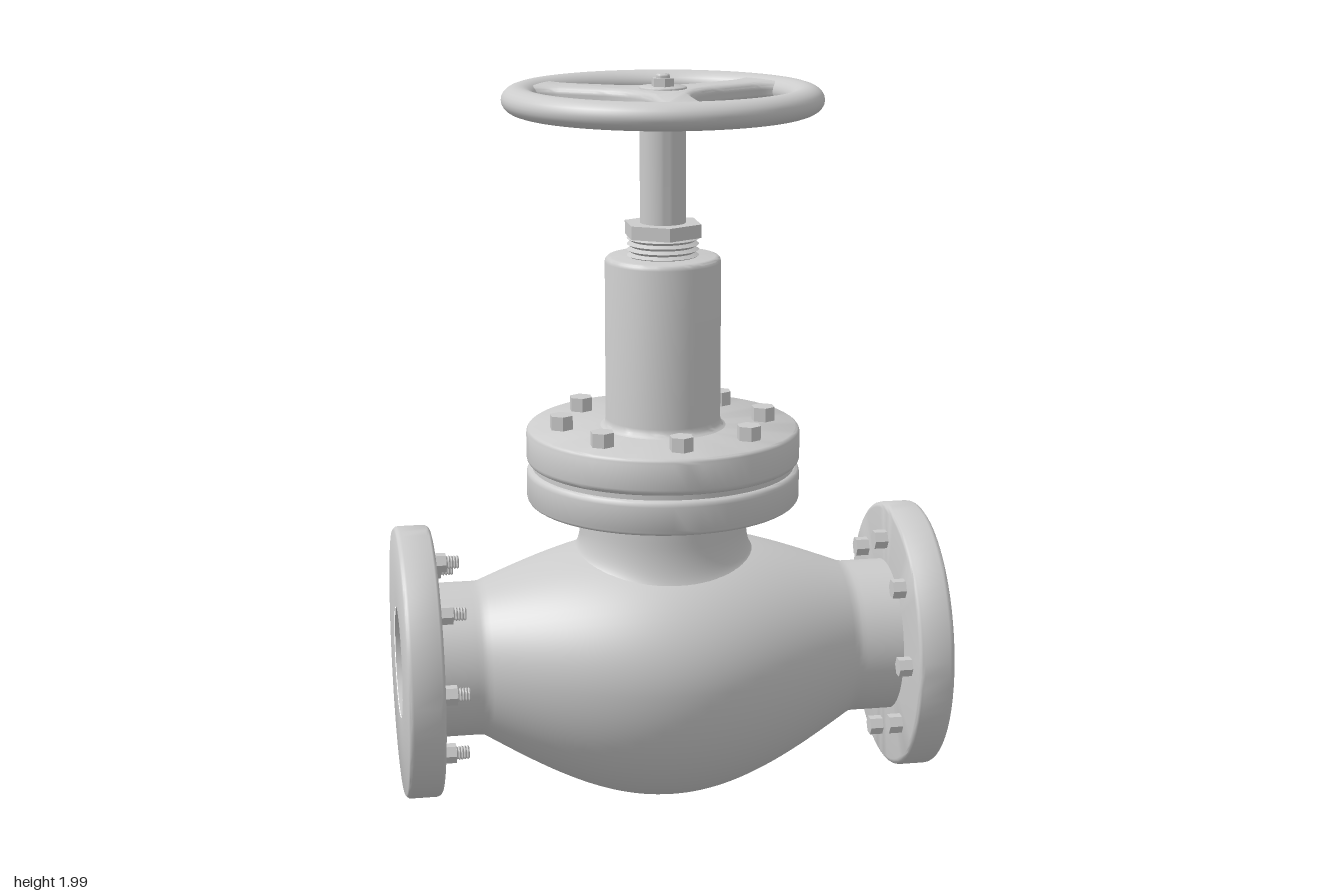
import * as THREE from 'three';
import { toCreasedNormals } from 'three/addons/utils/BufferGeometryUtils.js';

const AXIS_Y = 0.42; // height of the pipe axis
const BORE = 0.152;
const material = new THREE.MeshStandardMaterial({ color: 0xcccccc });
const boreMaterial = new THREE.MeshStandardMaterial({ color: 0xcccccc, side: THREE.DoubleSide });

function add(parent, name, geometry, mat = material) {
  const mesh = new THREE.Mesh(geometry, mat);
  mesh.name = name;
  parent.add(mesh);
  return mesh;
}

// Turned part from [radius, height] pairs, listed bottom to top
function turned(points, segments = 64) {
  const profile = points.map(([r, y]) => new THREE.Vector2(r, y));
  return toCreasedNormals(new THREE.LatheGeometry(profile, segments), 0.6);
}

// Disc with rounded rims, optionally with a hole
function disc(radius, y0, y1, round, inner = 0) {
  const points = [[inner, y0]];
  for (let k = 0; k <= 8; k++) {
    const i = k % 5 + (k > 4 ? 1 : 0);
    const a = -Math.PI / 2 + (k < 5 ? i : i + 3) * Math.PI / 8;
    const cy = k < 5 ? y0 + round : y1 - round;
    points.push([radius - round + round * Math.cos(a), cy + round * Math.sin(a)]);
  }
  points.push([inner, y1]);
  return turned(points);
}

// Zigzag thread profile
function thread(radius, depth, y0, y1, turns, segments) {
  const points = [[0, y0]];
  for (let i = 0; i <= turns * 2; i++) {
    points.push([radius - (i % 2 ? 0 : depth), y0 + (y1 - y0) * i / (turns * 2)]);
  }
  points.push([0, y1]);
  return turned(points, segments);
}

function hex(radius, height, y0) {
  const g = new THREE.CylinderGeometry(radius, radius, height, 6).translate(0, y0 + height / 2, 0);
  return toCreasedNormals(g, 0.5);
}

// Surface of closed rings: fn(u, angle) gives a point
function rings(nu, nv, fn) {
  const positions = [], index = [];
  for (let i = 0; i <= nu; i++) {
    for (let j = 0; j < nv; j++) {
      positions.push(...fn(i / nu, j / nv * Math.PI * 2));
      if (i === nu) continue;
      const k = (j + 1) % nv;
      const a = i * nv + j, b = a + nv, c = (i + 1) * nv + k, d = i * nv + k;
      index.push(a, b, c, a, c, d);
    }
  }
  const g = new THREE.BufferGeometry();
  g.setAttribute('position', new THREE.Float32BufferAttribute(positions, 3));
  g.setIndex(index);
  g.computeVertexNormals();
  return g;
}

// Bulge of the body: 1 in the middle, 0 where the straight pipe begins
const bulge = x => Math.abs(x) < 0.51 ? Math.cos(Math.PI / 2 * x / 0.51) : 0;
const bodyWidth = x => 0.21 + 0.185 * bulge(x);
const bodyRise = x => 0.21 + 0.12 * bulge(x);
const bodyDrop = x => 0.21 + 0.2 * bulge(x);
const bodyTop = (x, z) => AXIS_Y + bodyRise(x) * Math.sqrt(Math.max(0, 1 - (z / bodyWidth(x)) ** 2));

function createBody(group) {
  add(group, 'body', rings(96, 72, (u, a) => {
    const x = -0.64 + 1.28 * u, s = Math.sin(a);
    return [x, AXIS_Y + (s > 0 ? bodyRise(x) : bodyDrop(x)) * s, bodyWidth(x) * Math.cos(a)];
  }));
  const bore = new THREE.CylinderGeometry(BORE, BORE, 1.46, 64, 1, true).rotateZ(Math.PI / 2);
  add(group, 'bore', bore, boreMaterial).position.y = AXIS_Y;

  // Neck with a fillet that follows the curved body
  add(group, 'neck', rings(16, 72, (u, a) => {
    const side = Math.abs(Math.sin(a));
    const spread = 0.022 + 0.025 * side;
    const foot = 0.228 + spread;
    const base = bodyTop(foot * Math.cos(a), foot * Math.sin(a)) - 0.004;
    const height = 0.05 + 0.08 * side;
    const t = Math.min(1, u / 0.8) * Math.PI / 2;
    const y = u <= 0.8 ? base + height * (1 - Math.cos(t))
      : THREE.MathUtils.lerp(base + height, 0.86, (u - 0.8) / 0.2);
    const r = 0.228 + spread * (1 - Math.sin(t));
    return [r * Math.cos(a), y, r * Math.sin(a)];
  }));
}

// End flange along +x or -x with eight bolts on its inner face
function createEndFlange(side) {
  const flange = new THREE.Group();
  flange.name = side > 0 ? 'leftFlange' : 'rightFlange';
  add(flange, 'flangeDisc', disc(0.37, 0.633, 0.732, 0.015, BORE));
  for (let i = 0; i < 8; i++) {
    const a = i * Math.PI / 4;
    const bolt = new THREE.Group();
    bolt.name = 'flangeBolt';
    bolt.position.set(0.277 * Math.cos(a), 0, 0.277 * Math.sin(a));
    add(bolt, 'boltHead', hex(0.027, 0.04, 0.597));
    if (side < 0) add(bolt, 'boltThread', thread(0.019, 0.004, 0.562, 0.6, 5, 16));
    flange.add(bolt);
  }
  flange.rotation.z = -side * Math.PI / 2;
  flange.position.y = AXIS_Y;
  return flange;
}

function createBonnet(group) {
  add(group, 'neckFlange', disc(0.37, 0.85, 0.946, 0.017));
  add(group, 'gasket', turned([[0, 0.94], [0.355, 0.94], [0.355, 0.965], [0, 0.965]]));
  add(group, 'bonnetFlange', disc(0.37, 0.958, 1.058, 0.017));
  for (let i = 0; i < 8; i++) {
    const a = i * Math.PI / 4;
    add(group, 'bonnetBolt', hex(0.033, 0.04, 1.055)).position.set(0.277 * Math.cos(a), 0, 0.277 * Math.sin(a));
  }
  add(group, 'bonnet', turned([
    [0.172, 1.056], [0.163, 1.061], [0.157, 1.068], [0.155, 1.08], [0.155, 1.505],
    [0.153, 1.513], [0.148, 1.518], [0.14, 1.52], [0, 1.52]]));
  add(group, 'glandThread', thread(0.096, 0.012, 1.515, 1.575, 4, 48));
  add(group, 'glandNut', hex(0.108, 0.036, 1.573));
  add(group, 'stem', turned([[0.061, 1.58], [0.061, 1.93], [0, 1.93]], 48));
}

function createHandwheel() {
  const wheel = new THREE.Group();
  wheel.name = 'handwheel';
  wheel.position.y = 1.935;
  add(wheel, 'rim', new THREE.TorusGeometry(0.378, 0.045, 24, 96).rotateX(Math.PI / 2).scale(1, 0.8, 1));

  // Three spokes in one outline, flared at the rim and filleted at the hub
  const shape = new THREE.Shape();
  for (let i = 0; i < 3; i++) {
    const a = Math.PI / 2 + i * Math.PI * 2 / 3;
    const at = (r, w, b = a) => [r * Math.cos(b) - w * Math.sin(b), r * Math.sin(b) + w * Math.cos(b)];
    if (i === 0) shape.moveTo(...at(0.17, -0.052));
    shape.lineTo(...at(0.27, -0.052));
    shape.quadraticCurveTo(...at(0.335, -0.055), ...at(0.36, -0.11));
    shape.lineTo(...at(0.36, 0.11));
    shape.quadraticCurveTo(...at(0.335, 0.055), ...at(0.27, 0.052));
    shape.lineTo(...at(0.17, 0.052));
    shape.quadraticCurveTo(...at(0.06, 0, a + Math.PI / 3), ...at(0.17, -0.052, a + Math.PI * 2 / 3));
  }
  const spokes = new THREE.ExtrudeGeometry(shape, {
    depth: 0.012, bevelThickness: 0.021, bevelSize: 0.021, bevelOffset: -0.021, bevelSegments: 5, curveSegments: 12,
  }).translate(0, 0, -0.006).rotateX(Math.PI / 2);
  add(wheel, 'spokes', toCreasedNormals(spokes, 0.6));

  add(wheel, 'hub', disc(0.063, -0.03, 0.033, 0.005));
  add(wheel, 'hubNut', hex(0.031, 0.022, 0.032));
  add(wheel, 'stemTip', disc(0.018, 0.04, 0.065, 0.005));
  return wheel;
}

export function createModel() {
  const model = new THREE.Group();
  model.name = 'globeValve';
  createBody(model);
  for (const side of [-1, 1]) model.add(createEndFlange(side));
  createBonnet(model);
  model.add(createHandwheel());
  return model;
}
